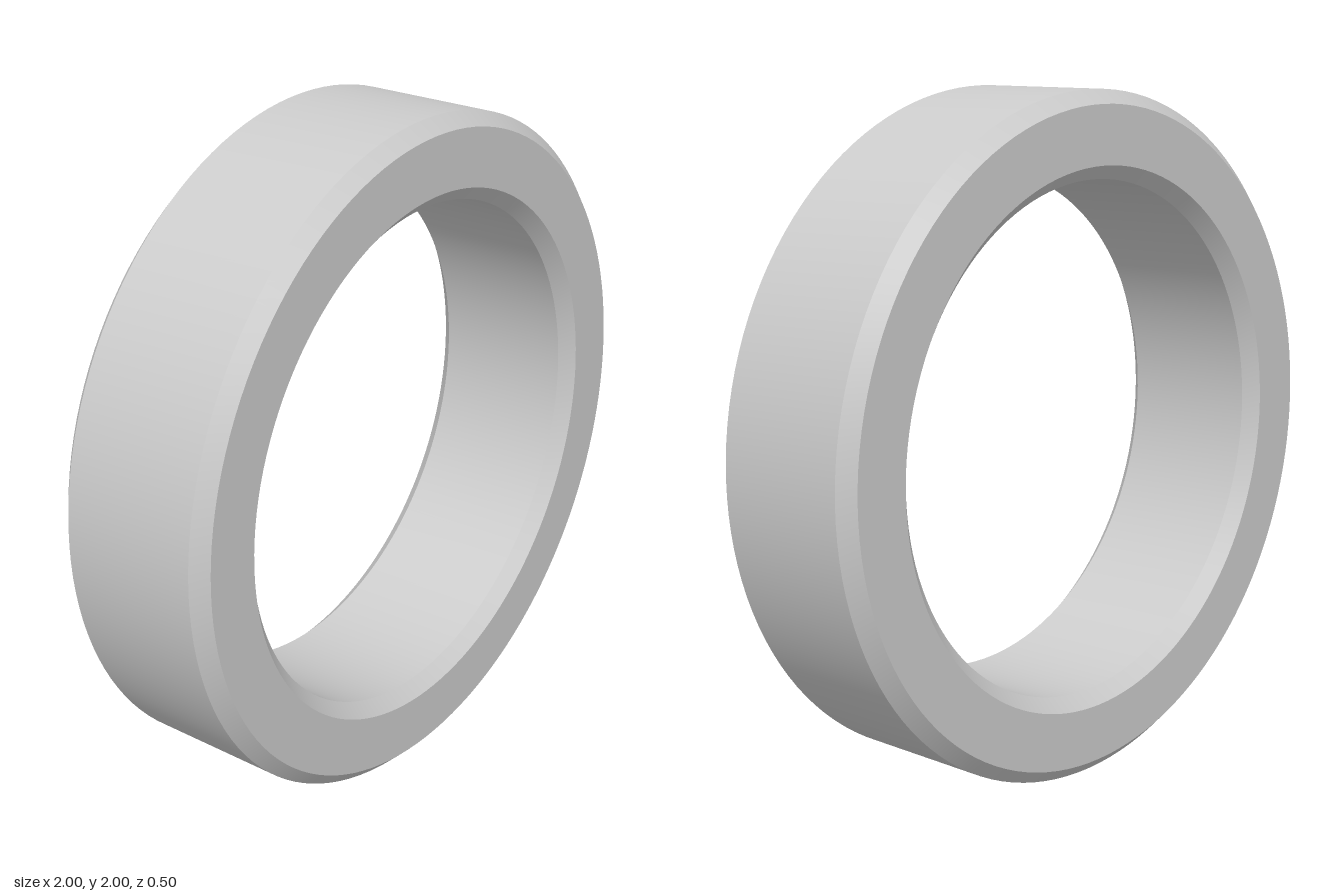
import * as THREE from 'three';
import { toCreasedNormals } from 'three/addons/utils/BufferGeometryUtils.js';

const OUTER = 1, INNER = 0.75, HALF_WIDTH = 0.25, CHAMFER = 0.04;

export function createModel() {
  const group = new THREE.Group();
  group.name = 'ringModel';

  // Closed rectangular section with all four corners chamfered
  const h = HALF_WIDTH, c = CHAMFER;
  const section = [
    [INNER, c - h], [INNER + c, -h], [OUTER - c, -h], [OUTER, c - h],
    [OUTER, h - c], [OUTER - c, h], [INNER + c, h], [INNER, h - c],
    [INNER, c - h],
  ].map(([r, y]) => new THREE.Vector2(r, y));

  // Turn the section into a ring standing upright, its axis along z
  const geometry = toCreasedNormals(new THREE.LatheGeometry(section, 128), 0.5);
  geometry.rotateX(Math.PI / 2);

  const ring = new THREE.Mesh(geometry, new THREE.MeshStandardMaterial({ color: 0xcccccc }));
  ring.name = 'chamferedRing';
  ring.position.y = OUTER;
  group.add(ring);
  return group;
}
